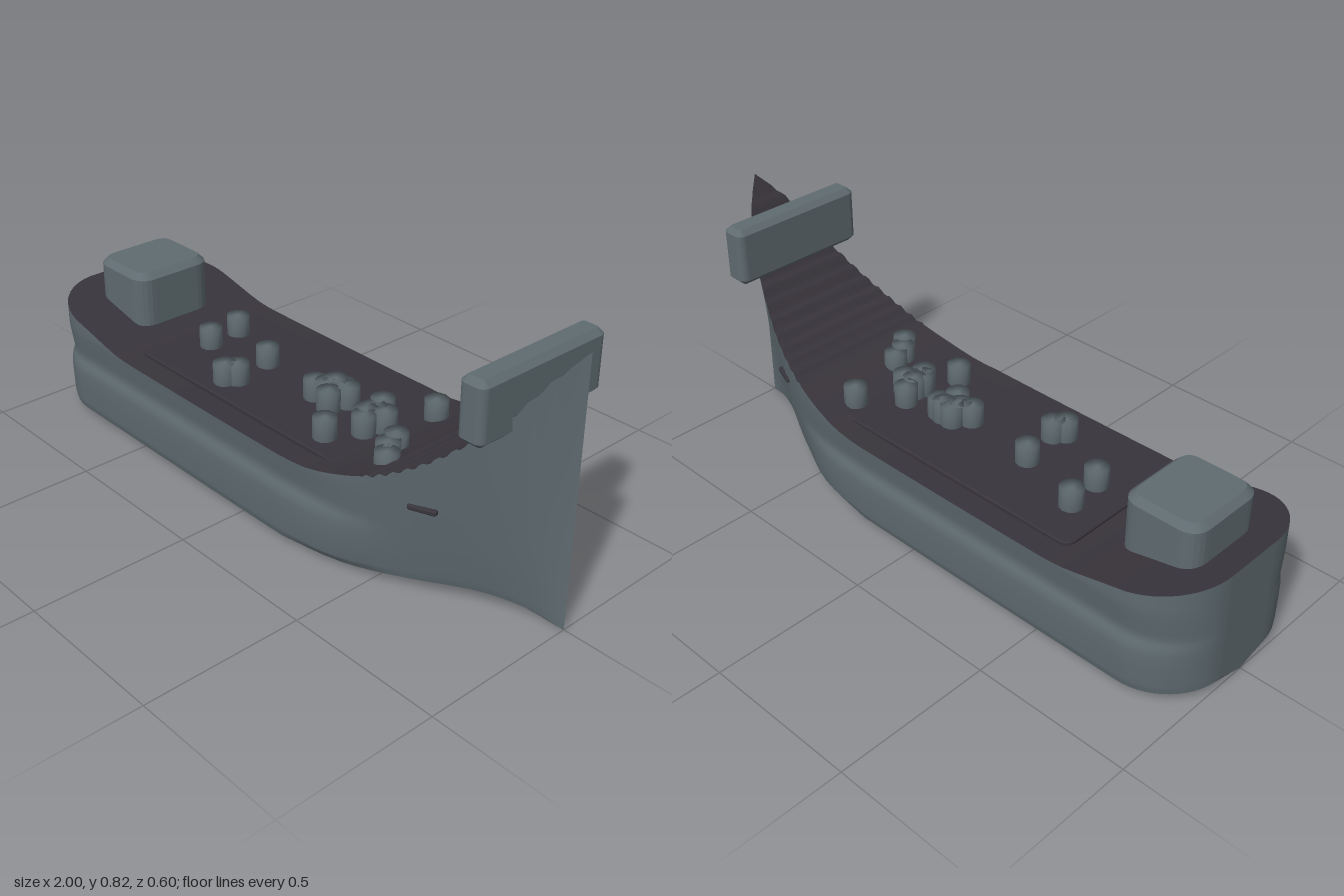
import * as THREE from 'three';
import { mergeVertices } from 'three/addons/utils/BufferGeometryUtils.js';

// Smooth interpolation through [x, value] pairs
function curve(pts) {
  const slope = (i) => {
    const a = pts[Math.max(i - 1, 0)], b = pts[Math.min(i + 1, pts.length - 1)];
    return (b[1] - a[1]) / (b[0] - a[0]);
  };
  return (x) => {
    if (x <= pts[0][0]) return pts[0][1];
    if (x >= pts[pts.length - 1][0]) return pts[pts.length - 1][1];
    let i = 0;
    while (x > pts[i + 1][0]) i++;
    const h = pts[i + 1][0] - pts[i][0], t = (x - pts[i][0]) / h, t2 = t * t, t3 = t2 * t;
    return (2 * t3 - 3 * t2 + 1) * pts[i][1] + (t3 - 2 * t2 + t) * h * slope(i)
      + (3 * t2 - 2 * t3) * pts[i + 1][1] + (t3 - t2) * h * slope(i + 1);
  };
}

// Surface from rows of points; it faces along du x dv
function grid(us, vs, fn, flip = false) {
  const pos = [], idx = [], n = vs.length;
  for (const u of us) for (const v of vs) pos.push(...fn(u, v));
  for (let i = 0; i < us.length - 1; i++) {
    for (let j = 0; j < n - 1; j++) {
      const a = i * n + j, b = a + n, c = b + 1, d = a + 1;
      if (flip) idx.push(a, c, b, a, d, c);
      else idx.push(a, b, c, a, c, d);
    }
  }
  const g = new THREE.BufferGeometry();
  g.setAttribute('position', new THREE.Float32BufferAttribute(pos, 3));
  g.setIndex(idx);
  g.computeVertexNormals();
  return g;
}

// Hull lines along x
const sheerBase = curve([[-1, 0.387], [-0.9, 0.367], [-0.75, 0.335], [-0.6, 0.302], [-0.5, 0.296],
  [0.25, 0.296], [0.35, 0.309], [0.5, 0.353], [0.6, 0.402], [0.7, 0.47], [0.8, 0.56],
  [0.87, 0.635], [0.95, 0.755], [1, 0.825]]);
const bowDeck = curve([[0.2, 0.298], [0.35, 0.288], [0.5, 0.264], [0.65, 0.224], [0.8, 0.16],
  [0.9, 0.103], [0.95, 0.06], [1, 0]]);
const bowChine = curve([[0.2, 0.298], [0.4, 0.262], [0.6, 0.185], [0.8, 0.08], [0.9, 0.035], [1, 0]]);
const chineY = curve([[-1, 0.03], [-0.8, 0.022], [0.4, 0.022], [0.75, 0.045], [0.9, 0.03], [1, 0]]);

// Stepped ripple on the foredeck
const sheer = (x) => sheerBase(x)
  + (x > 0.5 && x < 0.97 ? 0.005 * Math.sin((x - 0.5) * Math.PI * 2 / 0.0392) : 0);
const sternRound = (x) => 0.1 + 0.198 * Math.sqrt(Math.max(0, 1 - ((-0.8 - x) / 0.2) ** 2));
const deckHalf = (x) => (x < -0.8 ? sternRound(x) : bowDeck(x));
const chineHalf = (x) => (x < -0.8 ? sternRound(x) : bowChine(x)) * 0.97;

// Shallow groove along the topsides and rounding at the bilge
const groove = curve([[0.1, 0], [0.17, 0], [0.205, 0.014], [0.25, 0.008], [0.3, 0]]);
function hullHalf(x, y) {
  const c = chineY(x), s = THREE.MathUtils.clamp((y - c) / (sheer(x) - c), 0, 1);
  const fade = 1 - THREE.MathUtils.smoothstep(x, 0.3, 0.6);
  const flare = Math.pow(s, 0.8);
  const fullness = fade * Math.min(1, s * 9) + (1 - fade) * flare;
  const base = THREE.MathUtils.lerp(chineHalf(x), deckHalf(x), fullness);
  return Math.max(0, base - groove(y) * fade * deckHalf(x) / 0.3);
}
const levels = [0, 0.015, 0.03, 0.1, 0.15, 0.175, 0.19, 0.205, 0.225, 0.25, 0.3, 0.4, 0.55, 0.75, 1];
const levelY = (x, k) => {
  const c = chineY(x), top = sheer(x);
  if (k < 10) return Math.max(c + levels[k] * 0.9, k > 3 ? levels[k] : 0);
  return THREE.MathUtils.lerp(0.25, top, (k - 9) / (levels.length - 10));
};

// Box with chamfered edges and rounded corners, extruded upwards from y = 0
function slab(w, d, h, radius, bevel) {
  const a = w / 2 - bevel, b = d / 2 - bevel, r = radius, s = new THREE.Shape();
  s.moveTo(-a + r, -b).lineTo(a - r, -b).quadraticCurveTo(a, -b, a, -b + r);
  s.lineTo(a, b - r).quadraticCurveTo(a, b, a - r, b);
  s.lineTo(-a + r, b).quadraticCurveTo(-a, b, -a, b - r);
  s.lineTo(-a, -b + r).quadraticCurveTo(-a, -b, -a + r, -b);
  const g = new THREE.ExtrudeGeometry(s, { depth: h - 2 * bevel, bevelEnabled: bevel > 0,
    bevelSize: bevel, bevelThickness: bevel, bevelSegments: 1, curveSegments: 6 });
  g.translate(0, 0, bevel);
  return g.rotateX(-Math.PI / 2);
}

export function createModel() {
  const model = new THREE.Group();
  model.name = 'ship';
  const steel = new THREE.MeshStandardMaterial({ name: 'steelGrey', color: 0x5f6b70 });
  const dark = new THREE.MeshStandardMaterial({ name: 'darkDeck', color: 0x38343b });
  const add = (name, geometry, material, x = 0, y = 0, z = 0) => {
    const m = new THREE.Mesh(geometry, material);
    m.name = name;
    m.position.set(x, y, z);
    model.add(m);
    return m;
  };

  // Stations, closer together round the stern and the bow
  const xs = [];
  for (let i = 0; i < 14; i++) xs.push(-1 + 0.2 * (1 - Math.cos(i / 14 * Math.PI / 2)));
  for (let i = 0; i < 26; i++) xs.push(-0.8 + i * 0.05);
  for (let i = 0; i <= 50; i++) xs.push(0.5 + i * 0.01);
  const ks = levels.map((_, i) => i);

  // Hull sides
  for (const side of [1, -1]) {
    add(side > 0 ? 'hullSideLeft' : 'hullSideRight', grid(xs, ks, (x, k) => {
      const y = levelY(x, k);
      return [x, y, side * hullHalf(x, y)];
    }, side < 0), steel);
  }

  // Flat stern, shallow V bottom and deck
  const across = [-1, -0.5, 0, 0.5, 1];
  add('transom', grid(across, ks, (t, k) => {
    const y = k === 0 ? chineY(-1) * Math.abs(t) : levelY(-1, k);
    return [-1, y, t * hullHalf(-1, y)];
  }), steel);
  add('hullBottom', grid(xs, across, (x, t) =>
    [x, chineY(x) * Math.abs(t), t * hullHalf(x, chineY(x))]), steel);
  add('deck', grid(xs, across, (x, t) => [x, sheer(x), -t * deckHalf(x)]), dark);

  // Raised deck panel, buried by the rising foredeck
  add('deckPanel', slab(1.0, 0.45, 0.03, 0.03, 0.004), dark, -0.06, 0.279, 0);

  // Stern house and bow crosspiece
  add('sternHouse', slab(0.25, 0.285, 0.2, 0.04, 0.02), steel, -0.785, 0.3, 0);
  add('bowCrosspiece', slab(0.084, 0.47, 0.188, 0.008, 0.017), steel, 0.83, 0.58, 0);

  // Slots in the bow
  for (const side of [1, -1]) {
    const slot = add('bowSlot', slab(0.085, 0.022, 0.017, 0.004, 0.004), dark,
      0.66, 0.292, side * hullHalf(0.66, 0.3));
    slot.rotation.y = side * 0.37;
  }

  // Drums scattered over the deck
  let drum = new THREE.CylinderGeometry(0.037, 0.037, 0.1, 12);
  drum.deleteAttribute('normal');
  drum.deleteAttribute('uv');
  drum = mergeVertices(drum);
  drum.computeVertexNormals();
  const spots = [[-0.45, -0.085], [-0.44, 0.035], [-0.22, -0.015], [-0.195, 0.125], [-0.22, 0.155],
    [0.035, 0.015], [0.075, -0.03], [0.11, -0.03], [0.135, -0.025], [0.07, 0], [0.115, 0.035],
    [0.255, -0.05], [0.27, 0], [0.31, -0.005], [0.265, 0.03], [0.285, 0.055], [0.225, 0.15],
    [0.365, -0.16], [0.42, 0.06], [0.437, 0.108], [0.475, 0.15]];
  for (const [x, z] of spots) add('drum', drum, steel, x, 0.325, z);

  return model;
}
